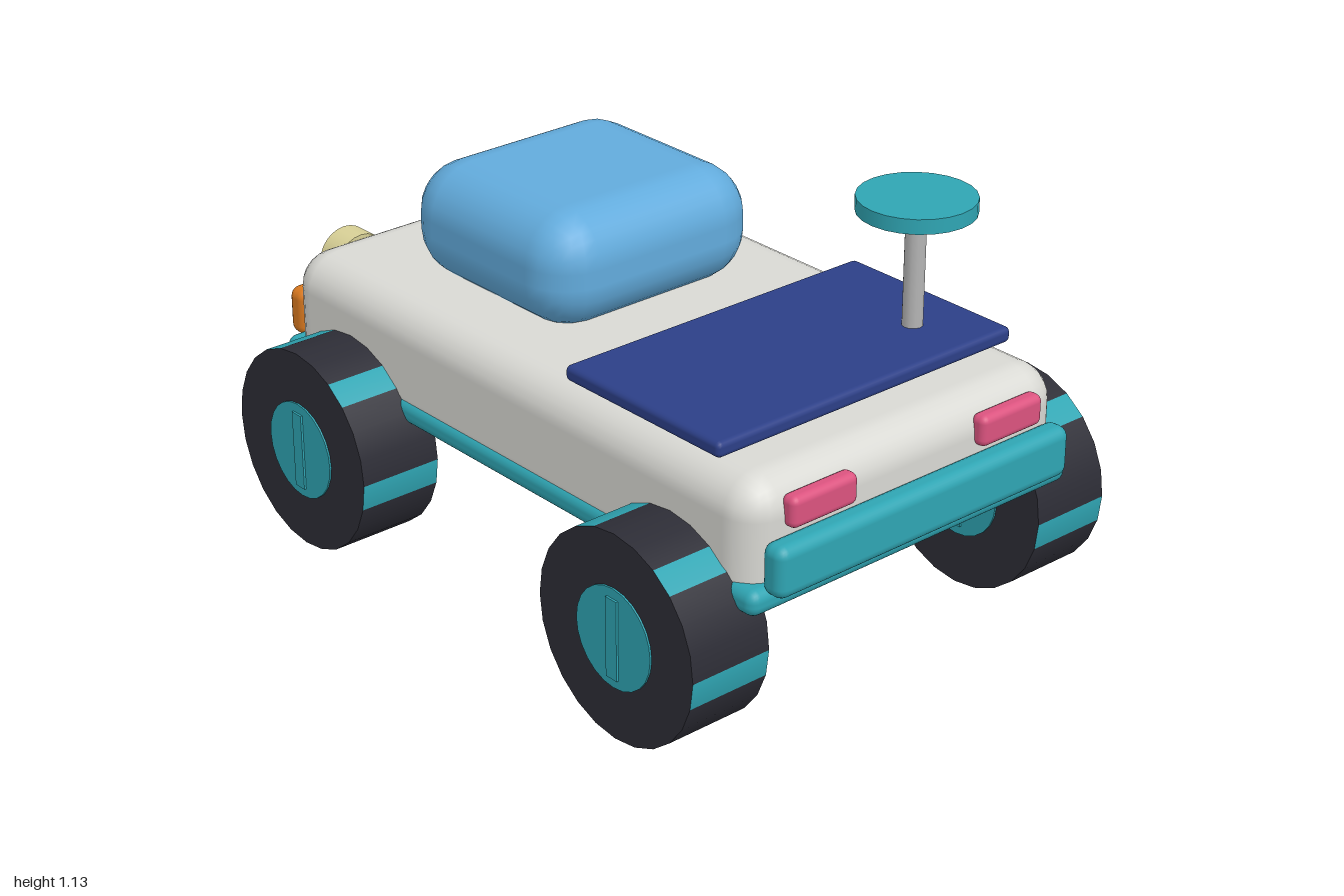
import * as THREE from 'three';
import { RoundedBoxGeometry } from 'three/addons/geometries/RoundedBoxGeometry.js';

const mat = (name, color) => {
  const m = new THREE.MeshStandardMaterial({ color });
  m.name = name;
  return m;
};

export function createModel() {
  const white = mat('bodyWhite', 0xd9d9d4);
  const teal = mat('teal', 0x2fa5b3);
  const blue = mat('seatBlue', 0x62abdc);
  const navy = mat('navy', 0x2c3f87);
  const rubber = mat('rubber', 0x2d2d36);
  const pink = mat('lampPink', 0xdb537f);
  const orange = mat('orange', 0xdb7a20);
  const cream = mat('lampCream', 0xd8d096);
  const grey = mat('postGrey', 0xb4b4b4);

  const model = new THREE.Group();
  model.name = 'rideOnCar';

  const add = (name, geometry, material, x, y, z, parent = model) => {
    const mesh = new THREE.Mesh(geometry, material);
    mesh.name = name;
    mesh.position.set(x, y, z);
    parent.add(mesh);
    return mesh;
  };
  const rounded = (w, h, d, r, s = 3) => new RoundedBoxGeometry(w, h, d, s, r);

  // Body shell and the trim band around its foot
  add('body', rounded(1.07, 0.355, 1.87, 0.1), white, 0, 0.55, 0);
  add('trim', rounded(1.09, 0.07, 1.91, 0.03), teal, 0, 0.433, 0);

  // Cushion seat and flat panel
  add('seat', rounded(0.705, 0.325, 0.672, 0.14), blue, 0, 0.867, -0.32);
  add('panel', rounded(0.995, 0.043, 0.57, 0.015, 2), navy, 0, 0.763, 0.495);

  // Bumpers
  add('frontBumper', rounded(0.995, 0.14, 0.075, 0.03), teal, 0, 0.517, 0.9625);
  add('rearBumper', rounded(0.995, 0.14, 0.075, 0.03), orange, 0, 0.517, -0.9625);

  // Lamps, mirrored left and right
  for (const side of [-1, 1]) {
    add('frontLamp', rounded(0.215, 0.085, 0.05, 0.02), pink, side * 0.319, 0.644, 0.94);
    add('rearLamp', new THREE.CylinderGeometry(0.085, 0.085, 0.08, 24).rotateX(Math.PI / 2),
      cream, side * 0.32, 0.64, -0.927);
  }

  // Steering post and disc
  add('steeringPost', new THREE.CylinderGeometry(0.028, 0.028, 0.33, 12), grey, 0.318, 0.94, 0.605);
  add('steeringWheel', new THREE.CylinderGeometry(0.155, 0.155, 0.04, 24), teal, 0.318, 1.117, 0.605);

  // Tyre: every fourth tread face is teal
  const tyre = new THREE.CylinderGeometry(0.284, 0.284, 0.242, 24).rotateZ(Math.PI / 2);
  tyre.clearGroups();
  for (let i = 0; i < 24; i++) tyre.addGroup(i * 6, 6, i % 4 === 3 ? 1 : 0);
  tyre.addGroup(24 * 6, 24 * 6, 0);
  const hub = new THREE.CylinderGeometry(0.137, 0.137, 0.252, 24).rotateZ(Math.PI / 2);
  const bar = new THREE.BoxGeometry(0.264, 0.22, 0.04);

  for (const side of [-1, 1]) {
    for (const end of [-1, 1]) {
      const wheel = new THREE.Group();
      wheel.name = (end > 0 ? 'front' : 'rear') + (side > 0 ? 'Left' : 'Right') + 'Wheel';
      wheel.position.set(side * 0.59, 0.286, end * 0.65);
      add('tyre', tyre, [rubber, teal], 0, 0, 0, wheel);
      add('hub', hub, teal, 0, 0, 0, wheel);
      add('hubBar', bar, teal, 0, 0, 0, wheel);
      model.add(wheel);
    }
  }
  return model;
}
